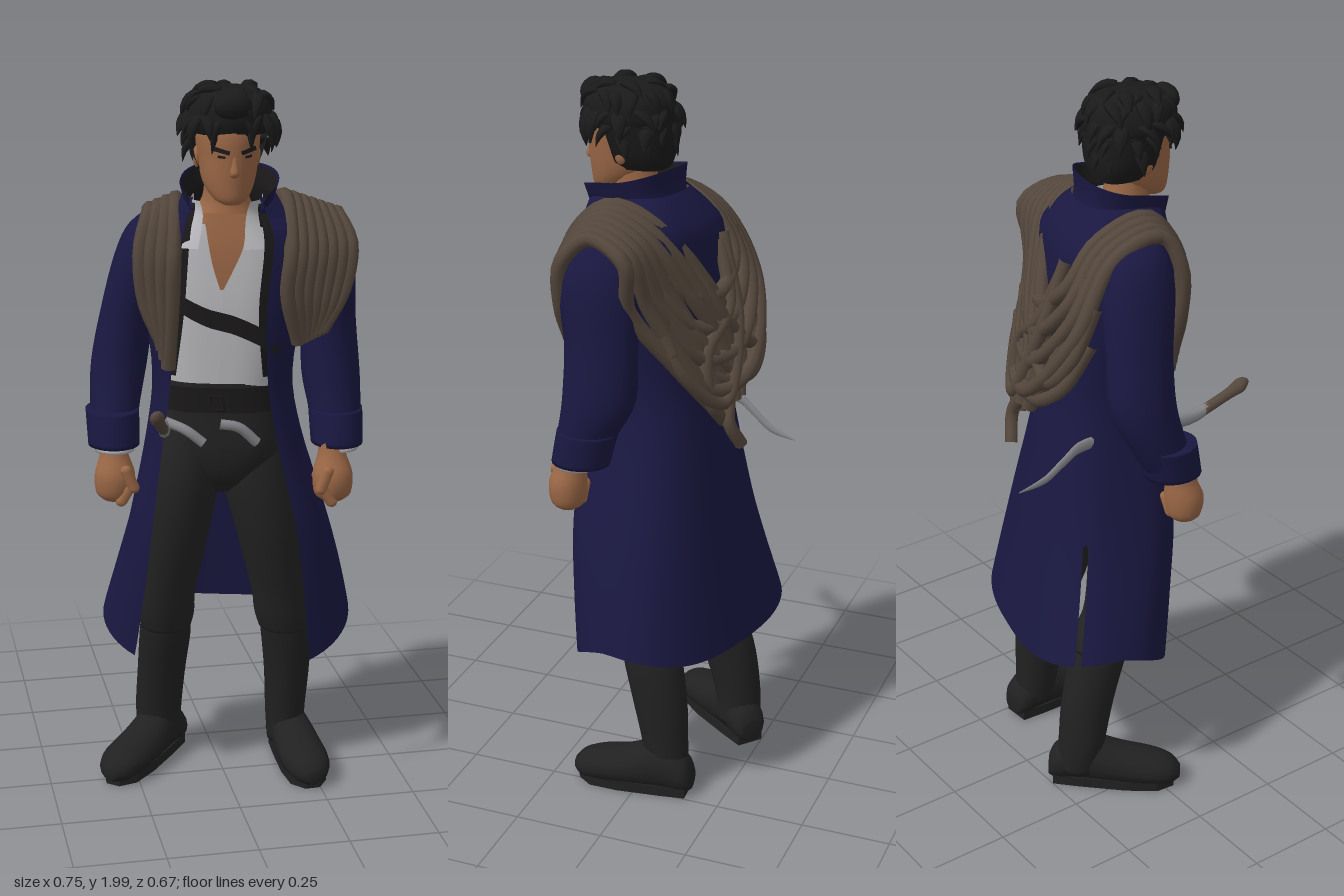
import * as THREE from 'three';

const mat = (name, color, side = THREE.FrontSide) => {
  const m = new THREE.MeshStandardMaterial({ color, side });
  m.name = name;
  return m;
};
const cr = (a, b, c, d, t) => b + 0.5 * t * (c - a + t * (2 * a - 5 * b + 4 * c - d + t * (3 * (b - c) + d - a)));

// Insert smooth in-between rows
function smooth(rows, k = 4) {
  const out = [], n = rows.length, at = i => rows[Math.min(n - 1, Math.max(0, i))];
  for (let i = 0; i < n - 1; i++)
    for (let s = 0; s < k; s++) out.push(rows[i].map((_, j) => cr(at(i - 1)[j], at(i)[j], at(i + 1)[j], at(i + 2)[j], s / k)));
  out.push(rows[n - 1]);
  return out;
}
function geo(pos, idx) {
  const g = new THREE.BufferGeometry();
  g.setAttribute('position', new THREE.Float32BufferAttribute(pos, 3));
  g.setIndex(idx);
  g.computeVertexNormals();
  return g;
}
// Capped loft of elliptical rings [x, y, z, ra, rb], rows ascending along the axis
function loft(rows, axis = 'y', sides = 16, k = 4) {
  const pos = [], idx = [], R = smooth(rows, k), n = R.length;
  for (const [x, y, z, a, b] of R)
    for (let j = 0; j < sides; j++) {
      const t = j / sides * Math.PI * 2, c = Math.cos(t) * Math.max(a, 0.001), s = Math.sin(t) * Math.max(b, 0.001);
      if (axis === 'y') pos.push(x + c, y, z + s); else pos.push(x + c, y - s, z);
    }
  pos.push(...R[0].slice(0, 3), ...R[n - 1].slice(0, 3));
  for (let j = 0; j < sides; j++) {
    const q = (j + 1) % sides, top = (n - 1) * sides;
    for (let i = 0; i < n - 1; i++) {
      const a = i * sides + j, b = i * sides + q;
      idx.push(a, a + sides, b, b, a + sides, b + sides);
    }
    idx.push(n * sides, j, q, n * sides + 1, top + q, top + j);
  }
  return geo(pos, idx);
}
// Torso-hugging sheet, turned a little to the right; rows [y, cx, cz, rx, rz, halfWidth]
// mode: closed, open (gap at the front) or patch (front only)
const YAW = 0.26, POWER = 2.75;
function shell(rows, mode = 'closed', { cols = 56, yAt = (t, y) => y, skip = () => false, yaw = YAW } = {}) {
  const pos = [], idx = [], R = smooth(rows), C = Math.cos(yaw), S = Math.sin(yaw);
  const pw = v => Math.sign(v) * Math.abs(v) ** (2 / POWER);
  R.forEach(([y, cx, cz, rx, rz, w = 0], i) => {
    const t0 = Math.asin(Math.min(1, (Math.max(w, 0) / rx) ** (POWER / 2)));
    const [from, to] = mode === 'open' ? [t0, 2 * Math.PI - t0] : mode === 'patch' ? [-t0, t0] : [0, 2 * Math.PI];
    for (let j = 0; j <= cols; j++) {
      const t = from + (to - from) * j / cols, x = rx * pw(Math.sin(t)), z = rz * pw(Math.cos(t));
      pos.push(cx + x * C - z * S, yAt(t, y), cz + x * S + z * C);
      if (i < R.length - 1 && j < cols && !skip(j, y)) {
        const a = i * (cols + 1) + j, b = a + cols + 1;
        idx.push(a, a + 1, b, a + 1, b + 1, b);
      }
    }
  });
  return geo(pos, idx);
}

export function createModel() {
  const root = new THREE.Group();
  const D = THREE.DoubleSide;
  const navy = mat('navy cloth', 0x1a1841, D), black = mat('black trousers', 0x232323), boot = mat('boot leather', 0x212121),
    hairM = mat('black hair', 0x1a1a1a, D), skin = mat('skin', 0x9a6746), white = mat('white shirt', 0xb8b8bc, D),
    ropeM = mat('rope', 0x54473c), steel = mat('steel', 0x828287), strapM = mat('dark strap', 0x1b1919, D);
  const add = (name, g, m, parent = root) => {
    const mesh = new THREE.Mesh(g, m);
    mesh.name = name;
    parent.add(mesh);
    return mesh;
  };
  const tube = (name, pts, r, m, seg = 40) =>
    add(name, new THREE.TubeGeometry(new THREE.CatmullRomCurve3(pts.map(p => new THREE.Vector3(...p))), seg, r, 8), m);

  // Torso: shirt, bare chest, strap, dark lining inside the coat edge
  add('shirt', shell([[1.17, -0.01, 0.02, 0.16, 0.135], [1.4, 0, 0.03, 0.19, 0.145], [1.57, 0.01, 0.04, 0.2, 0.135],
    [1.63, 0, 0.06, 0.13, 0.11]]), white);
  add('bareChest', shell([[1.46, 0, 0.033, 0.192, 0.151, 0.004], [1.52, 0.005, 0.036, 0.197, 0.151, 0.028],
    [1.58, 0.01, 0.04, 0.2, 0.146, 0.046], [1.66, 0, 0.06, 0.12, 0.112, 0.055]], 'patch', { cols: 12 }), skin);
  add('chestStrap', shell([[1.35, 0, 0.03, 0.195, 0.156, 0.15], [1.4, 0, 0.03, 0.198, 0.158, 0.15]], 'patch',
    { cols: 24, yAt: (t, y) => y - 0.1 * Math.sin(t) }), strapM);
  const frontOnly = (n, side) => j => j > side && j < n - 1 - side;
  add('coatLining', shell([[1.22, -0.005, 0.02, 0.182, 0.154, 0.116], [1.4, 0, 0.03, 0.207, 0.16, 0.098],
    [1.58, 0.012, 0.04, 0.225, 0.153, 0.098], [1.66, 0.005, 0.055, 0.15, 0.126, 0.085]], 'open', { cols: 40, skip: frontOnly(40, 4) }), strapM);
  add('shirtCollar', shell([[1.57, -0.005, 0.05, 0.17, 0.15, 0.06], [1.65, -0.005, 0.075, 0.1, 0.102, 0.056],
    [1.69, -0.005, 0.08, 0.094, 0.097, 0.066]], 'open', { cols: 40, skip: frontOnly(40, 9) }), white);

  // Hips, belt and hanging sash ends
  add('hips', shell([[0.87, -0.02, 0.02, 0.05, 0.05], [0.92, -0.015, 0.02, 0.11, 0.1], [1.0, -0.01, 0.02, 0.168, 0.127],
    [1.1, -0.01, 0.02, 0.168, 0.133], [1.2, -0.01, 0.02, 0.162, 0.138]]), black);
  add('belt', shell([[1.12, -0.01, 0.02, 0.175, 0.142], [1.19, -0.01, 0.02, 0.172, 0.146]]), strapM);
  const buckle = add('buckle', new THREE.TorusGeometry(0.026, 0.005, 6, 4), strapM);
  buckle.position.set(-0.05, 1.15, 0.166);
  buckle.rotation.set(0, -YAW, Math.PI / 4);
  tube('sashRight', [[-0.18, 1.09, 0.1], [-0.13, 1.075, 0.15], [-0.085, 1.04, 0.163]], 0.014, steel, 10);
  tube('sashLeft', [[-0.04, 1.09, 0.16], [0.01, 1.08, 0.167], [0.06, 1.035, 0.167]], 0.014, steel, 10);

  // Legs and boots
  const legs = {
    left: [[0.183, 0.43, -0.025, 0.072, 0.083], [0.175, 0.48, -0.015, 0.08, 0.088], [0.16, 0.56, 0.005, 0.079, 0.084],
      [0.12, 0.75, 0.03, 0.09, 0.1], [0.085, 0.92, 0.03, 0.1, 0.11], [0.065, 1.08, 0.02, 0.08, 0.1]],
    right: [[-0.15, 0.43, -0.09, 0.072, 0.083], [-0.15, 0.48, -0.075, 0.08, 0.088], [-0.15, 0.56, -0.045, 0.079, 0.084],
      [-0.132, 0.75, 0, 0.092, 0.1], [-0.115, 0.92, 0.02, 0.1, 0.11], [-0.1, 1.08, 0.02, 0.08, 0.1]]
  };
  const shins = {
    left: [[0.205, 0.05, -0.08, 0.055, 0.066], [0.2, 0.14, -0.075, 0.057, 0.066], [0.2, 0.27, -0.06, 0.064, 0.078],
      [0.192, 0.4, -0.035, 0.072, 0.084], [0.18, 0.46, -0.02, 0.07, 0.08]],
    right: [[-0.155, 0.05, -0.17, 0.062, 0.066], [-0.16, 0.14, -0.165, 0.067, 0.067], [-0.155, 0.27, -0.14, 0.069, 0.078],
      [-0.15, 0.4, -0.1, 0.073, 0.084], [-0.15, 0.46, -0.08, 0.07, 0.08]]
  };
  const soleShape = new THREE.Shape([[-0.036, -0.07], [0.036, -0.07], [0.044, 0], [0.053, 0.12], [0.049, 0.2], [0.02, 0.24], [-0.02, 0.24],
    [-0.049, 0.2], [-0.053, 0.12], [-0.044, 0]].map(p => new THREE.Vector2(...p)));
  const soleGeo = new THREE.ExtrudeGeometry(soleShape, { depth: 0.03, bevelEnabled: false }).rotateX(Math.PI / 2).translate(0, 0.03, 0);
  const footGeo = loft([[0, 0.045, -0.082, 0.03, 0.03], [0, 0.062, -0.06, 0.048, 0.056], [0, 0.08, 0.01, 0.054, 0.075],
    [0, 0.063, 0.1, 0.062, 0.058], [0, 0.053, 0.18, 0.062, 0.048], [0, 0.045, 0.23, 0.046, 0.038], [0, 0.038, 0.255, 0.018, 0.018]], 'z');
  for (const [side, x, z, turn, long] of [['left', 0.212, -0.075, 0.06, 1.03], ['right', -0.155, -0.165, -0.7, 1.12]]) {
    add(side + 'Leg', loft(legs[side], 'y', 20), black);
    add(side + 'Boot', loft(shins[side], 'y', 20), boot);
    const foot = new THREE.Group();
    foot.name = side + 'Foot';
    foot.position.set(x, 0, z);
    foot.rotation.y = turn;
    foot.scale.set(1.08, 1, long);
    add('footUpper', footGeo, boot, foot);
    add('sole', soleGeo, boot, foot);
    root.add(foot);
  }

  // Long coat with a side slit and standing collar
  add('coat', shell([[0.44, 0.02, -0.055, 0.35, 0.208, 0.245], [0.62, 0.02, -0.025, 0.312, 0.205, 0.22], [0.8, 0.015, 0, 0.27, 0.2, 0.195],
    [1.03, 0, 0.012, 0.212, 0.177, 0.155], [1.2, -0.005, 0.02, 0.19, 0.16, 0.13], [1.4, 0, 0.03, 0.215, 0.165, 0.12],
    [1.58, 0.015, 0.04, 0.235, 0.158, 0.12], [1.65, 0.01, 0.05, 0.17, 0.135, 0.105], [1.7, 0, 0.07, 0.115, 0.115, 0.085]], 'open', {
    yAt: (t, y) => y + (0.045 * Math.sin(t) ** 2 - 0.075 * Math.max(0, Math.cos(t))) * THREE.MathUtils.clamp((0.78 - y) / 0.3, 0, 1),
    skip: (j, y) => j === 40 && y < 0.76
  }), navy);
  const collarDrop = (t, y) => y - 0.03 * (1 + Math.cos(t)) * (y > 1.7 ? 1 : 0.3);
  add('coatCollar', shell([[1.64, 0, 0.07, 0.13, 0.125, 0.095], [1.7, 0, 0.078, 0.116, 0.114, 0.088], [1.765, 0, 0.088, 0.13, 0.124, 0.112]],
    'open', { yAt: collarDrop }), navy);
  add('collarLining', shell([[1.64, 0, 0.07, 0.124, 0.119, 0.09], [1.7, 0, 0.078, 0.11, 0.108, 0.082], [1.76, 0, 0.088, 0.124, 0.118, 0.106]],
    'open', { yAt: collarDrop }), strapM);

  // Arms: sleeve, turned cuff, shirt cuff, fist
  const arms = {
    left: [[0.29, 1.02, 0.13, 0.066, 0.076], [0.288, 1.1, 0.11, 0.07, 0.082], [0.283, 1.2, 0.078, 0.078, 0.1],
      [0.273, 1.36, 0.075, 0.074, 0.1], [0.25, 1.52, 0.09, 0.085, 0.115], [0.22, 1.62, 0.085, 0.065, 0.085], [0.19, 1.67, 0.08, 0.02, 0.03]],
    right: [[-0.308, 1.02, 0.03, 0.064, 0.072], [-0.3, 1.1, -0.01, 0.067, 0.08], [-0.28, 1.22, -0.05, 0.076, 0.094],
      [-0.255, 1.36, -0.045, 0.074, 0.095], [-0.213, 1.52, -0.02, 0.078, 0.105], [-0.185, 1.61, -0.005, 0.065, 0.085], [-0.16, 1.66, 0.01, 0.02, 0.03]]
  };
  const palm = loft([[0, -0.07, 0, 0.025, 0.025], [0, -0.05, 0, 0.044, 0.045], [0, 0, 0, 0.048, 0.05], [0, 0.05, -0.01, 0.034, 0.038],
    [0, 0.09, -0.02, 0.033, 0.035]], 'y', 14);
  for (const [side, s, hx, hz] of [['left', 1, 0.268, 0.178], ['right', -1, -0.312, 0.065]]) {
    add(side + 'Sleeve', loft(arms[side], 'y', 20), navy);
    const [x, y, z] = arms[side][0];
    add(side + 'Cuff', loft([[x, y - 0.005, z, 0.07, 0.08], [x, y + 0.05, z - 0.012, 0.072, 0.082], [x, y + 0.09, z - 0.022, 0.073, 0.084]], 'y', 20), navy);
    add(side + 'ShirtCuff', loft([[x, y - 0.018, z + 0.012, 0.055, 0.06], [x, y + 0.02, z, 0.06, 0.062]], 'y', 16), white);
    const hand = new THREE.Group();
    hand.name = side + 'Hand';
    hand.position.set(hx, 0.94, hz);
    hand.scale.set(1.15, 1.05, 1.05);
    add('palm', palm, skin, hand);
    for (let i = 0; i < 4; i++) {
      const f = add('finger', new THREE.CapsuleGeometry(0.014, 0.04, 4, 8), skin, hand);
      f.position.set(-s * 0.02, -0.048 + i * 0.006, 0.036 - i * 0.023);
      f.rotation.z = s * 0.5;
    }
    const thumb = add('thumb', new THREE.CapsuleGeometry(0.014, 0.05, 4, 8), skin, hand);
    thumb.position.set(-s * 0.03, -0.005, 0.045);
    thumb.rotation.z = -s * 0.35;
    root.add(hand);
  }

  // Neck, head and face
  add('neck', loft([[-0.01, 1.57, 0.06, 0.12, 0.1], [-0.01, 1.64, 0.075, 0.092, 0.088], [-0.01, 1.69, 0.088, 0.063, 0.066],
    [-0.01, 1.76, 0.1, 0.058, 0.062]]), skin);
  add('head', loft([[-0.012, 1.685, 0.175, 0.022, 0.022], [-0.012, 1.7, 0.158, 0.046, 0.05], [-0.012, 1.74, 0.13, 0.068, 0.083],
    [-0.01, 1.8, 0.115, 0.078, 0.103], [-0.01, 1.88, 0.105, 0.083, 0.112], [-0.01, 1.95, 0.1, 0.055, 0.07]], 'y', 20), skin);
  add('nose', loft([[-0.012, 1.757, 0.208, 0.006, 0.006], [-0.012, 1.769, 0.216, 0.013, 0.016], [-0.012, 1.795, 0.21, 0.009, 0.014],
    [-0.012, 1.835, 0.203, 0.007, 0.01]], 'y', 8), skin);
  const face = (name, x, y, z, w, h, tilt, turn, m) => {
    const p = add(name, new THREE.BoxGeometry(w, h, 0.008), m);
    p.position.set(x, y, z);
    p.rotation.set(0, turn, tilt);
  };
  for (const s of [-1, 1]) {
    face('eyebrow', -0.01 + s * 0.035, 1.828, 0.211, 0.042, 0.01, s * 0.25, s * 0.4, hairM);
    face('eye', -0.01 + s * 0.034, 1.812, 0.206, 0.02, 0.006, s * 0.1, s * 0.4, strapM);
    const ear = add('ear', new THREE.SphereGeometry(0.022, 10, 8), skin);
    ear.scale.set(0.45, 1.3, 0.8);
    ear.position.set(-0.01 + s * 0.08, 1.8, 0.1);
  }

  // Hair: cap, nape and short swept tufts
  add('hairCap', loft([[-0.005, 1.865, 0.1, 0.1, 0.116], [-0.005, 1.9, 0.103, 0.112, 0.124], [-0.004, 1.945, 0.105, 0.1, 0.115],
    [-0.003, 1.975, 0.105, 0.06, 0.075], [-0.003, 1.985, 0.105, 0.01, 0.01]], 'y', 20), hairM);
  add('hairNape', shell([[1.755, -0.01, 0.07, 0.065, 0.075, 0.06], [1.8, -0.01, 0.085, 0.09, 0.102, 0.088], [1.88, -0.006, 0.1, 0.104, 0.118, 0.102]],
    'open', { yaw: 0, cols: 24 }), hairM);
  let seed = 7;
  const rnd = () => (seed = (seed * 16807) % 2147483647) / 2147483647;
  const tuftGeo = loft([[0, 0, -0.02, 0.02, 0.012], [0, 0.01, 0.01, 0.027, 0.016], [0, 0.01, 0.05, 0.018, 0.011], [0, -0.006, 0.085, 0.001, 0.001]], 'z', 7, 2);
  const tuft = (x, y, z, dx, dy, dz, size) => {
    const t = add('hairTuft', tuftGeo, hairM);
    t.position.set(x, y, z);
    t.lookAt(x + dx, y + dy, z + dz);
    t.scale.setScalar(size);
  };
  // Each ring: height, radius, count, how far forward it reaches
  for (const [y, r, n, reach] of [[1.83, 0.088, 12, 0], [1.865, 0.097, 14, 0.35], [1.9, 0.104, 16, 0.8], [1.945, 0.09, 13, 2], [1.967, 0.055, 7, 2]])
    for (let i = 0; i < n; i++) {
      const a = (i + 0.5 * rnd()) / n * Math.PI * 2, sx = Math.sin(a), cz = Math.cos(a), sway = 1.4 * (rnd() - 0.5);
      if (cz < reach)
        tuft(-0.005 + sx * r, y + 0.01 * rnd(), 0.103 + cz * r * 1.1, sx * 0.4 + cz * sway, y > 1.96 ? -0.15 : -0.6, cz * 0.4 - sx * sway, 0.55 + 0.25 * rnd());
    }
  // Fringe and front curl
  for (const [x, lean, size] of [[-0.1, -0.3, 0.8], [-0.078, 0.2, 0.95], [-0.05, -0.3, 0.75], [0.015, 0.45, 0.7], [0.045, -0.2, 0.85], [0.072, 0.3, 0.95], [0.095, 0.3, 0.8]])
    tuft(x, 1.897, 0.21 - 5 * (x + 0.005) ** 2, lean, -1, 0.12, size);
  const curl = add('frontCurl', new THREE.SphereGeometry(0.036, 12, 8), hairM);
  curl.scale.set(1.4, 1, 0.9);
  curl.position.set(-0.015, 1.94, 0.21);

  // Rope coils over both shoulders, fanning out down the back
  const back = (x, y, lift) => [x, y, -0.145 + 0.25 * x + 1.0 * x * x - 0.2 * (1.5 - y) - lift];
  for (let i = 0; i < 7; i++) {
    const s = i / 6, w = 0.005 * (i % 3);
    tube('leftShoulderRope', [[0.17 + 0.06 * s, 1.31 + 0.03 * s, 0.18], [0.13 + 0.16 * s, 1.45, 0.215 - 0.035 * s], [0.14 + 0.17 * s, 1.57, 0.215 - 0.047 * s],
      [0.15 + 0.14 * s, 1.685 - 0.05 * s, 0.1], [0.14 + 0.18 * s, 1.645 - 0.055 * s, -0.02 + 0.01 * s], back(0.06 + 0.22 * s, 1.48 - 0.03 * s, w),
      back(-0.03 + 0.23 * s, 1.29 - 0.03 * (i % 2), w), back(0.01 + 0.1 * s, 1.15 + 0.03 * (i % 2), w)], 0.021, ropeM);
  }
  for (let i = 0; i < 4; i++) {
    const s = i / 3, w = 0.006 * i;
    tube('rightShoulderRope', [[-0.17 - 0.02 * s, 1.24 + 0.08 * s, 0.115], [-0.165 - 0.065 * s, 1.42, 0.145 - 0.04 * s], [-0.16 - 0.08 * s, 1.56, 0.15 - 0.05 * s],
      [-0.14 - 0.07 * s, 1.68 - 0.03 * s, 0.06], [-0.11 - 0.08 * s, 1.63 - 0.02 * s, -0.08], back(-0.09 - 0.09 * s, 1.52 - 0.1 * s, w),
      back(0.02 - 0.04 * s, 1.44 - 0.22 * s, 0.008 + w), back(0.13, 1.46 - 0.26 * s, w), back(0.21, 1.55 - 0.22 * s, w)], 0.021, ropeM);
  }
  // Tangled loops hanging on the back
  [[-0.15, 1.57, -0.02, 1.2, 0.18, 1.5], [-0.2, 1.5, -0.09, 1.27, 0.1, 1.55], [-0.06, 1.58, 0.1, 1.16, 0.22, 1.4],
    [-0.2, 1.4, -0.04, 1.2, 0.14, 1.3], [-0.05, 1.56, 0.12, 1.3, 0.08, 1.1]].forEach(([ax, ay, bx, by, cx, cy], i) => {
    const l = 0.004 + 0.006 * (i % 3);
    tube('backRope', [back(ax, ay, l - 0.02), back((ax + bx) / 2 - 0.03, (ay + by) / 2 - 0.03, l + 0.006), back(bx, by, l + 0.01),
      back((bx + cx) / 2 + 0.03, (by + cy) / 2 - 0.03, l + 0.006), back(cx, cy, l - 0.01)], 0.019, ropeM);
  });
  tube('ropeEnd', [[0.1, 1.28, -0.16], [0.06, 1.18, -0.2], [0.09, 1.1, -0.215], [0.06, 1.03, -0.24]], 0.018, ropeM);

  // Curved sword through the belt
  add('swordBlade', loft([[-0.118, 0.985, -0.335, 0.001, 0.002], [-0.13, 1.005, -0.26, 0.005, 0.012], [-0.14, 1.05, -0.2, 0.006, 0.016],
    [-0.15, 1.083, -0.14, 0.007, 0.018], [-0.18, 1.085, 0.05, 0.009, 0.019], [-0.192, 1.085, 0.17, 0.016, 0.022], [-0.208, 1.108, 0.23, 0.013, 0.015]], 'z', 8), steel);
  add('swordHandle', loft([[-0.203, 1.1, 0.215, 0.015, 0.016], [-0.225, 1.14, 0.285, 0.015, 0.017], [-0.235, 1.16, 0.315, 0.02, 0.021],
    [-0.239, 1.168, 0.335, 0.008, 0.009]], 'z', 10), ropeM);
  return root;
}
